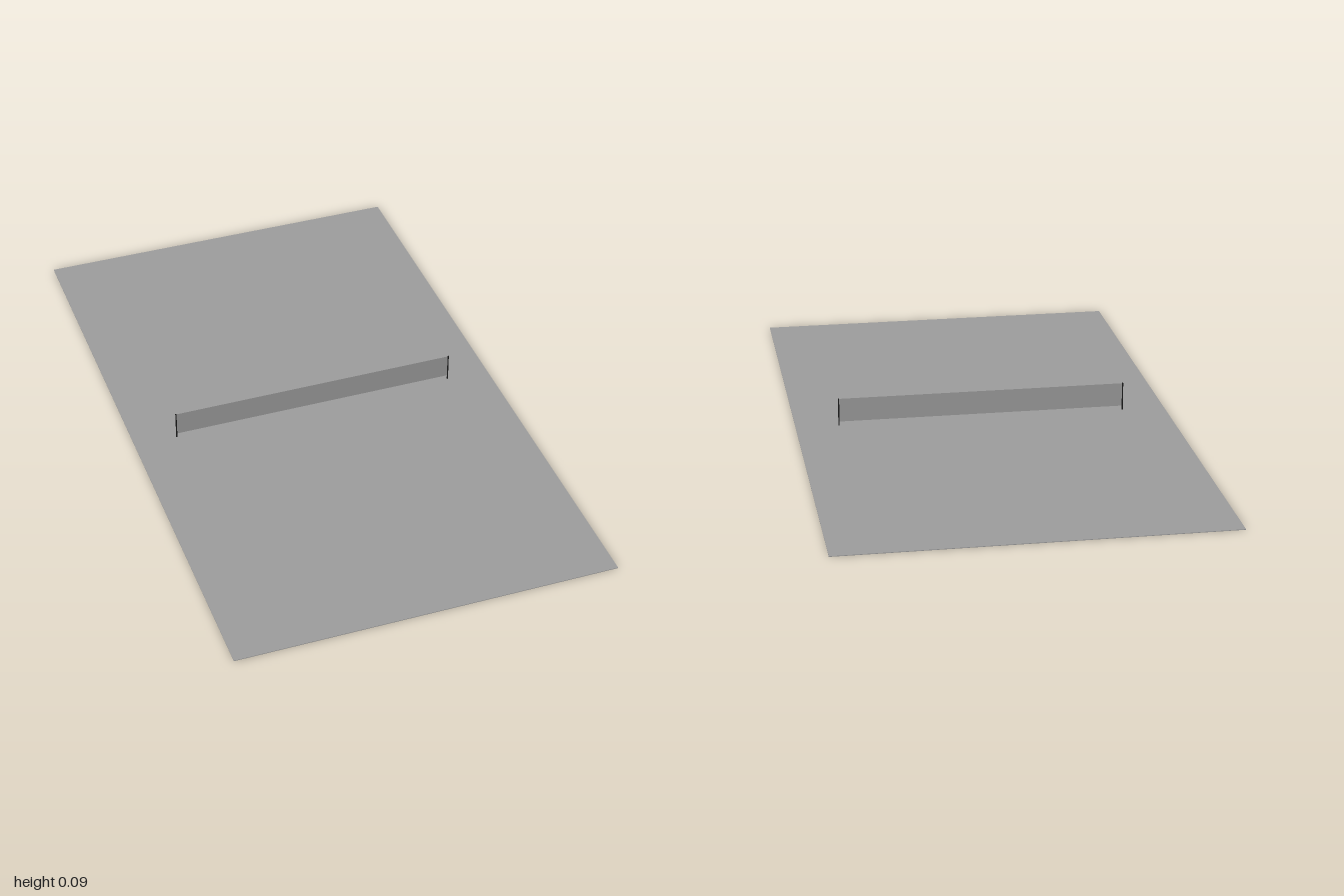
import * as THREE from 'three';

const NET_HALF = 0.45;
const POST_BASE = 0.001;
const POST_TOP = 0.091;
const POST_RADIUS = 0.002;

export function createModel() {
  const group = new THREE.Group();
  const grey = new THREE.MeshStandardMaterial({ color: 0x9c9c9c });
  const thinGrey = new THREE.MeshStandardMaterial({ color: 0x9c9c9c, side: THREE.DoubleSide });
  const dark = new THREE.MeshStandardMaterial({ color: 0x1a1a1a });

  const add = (name, geometry, material, x, y) => {
    const mesh = new THREE.Mesh(geometry, material);
    mesh.name = name;
    mesh.position.set(x, y, 0);
    group.add(mesh);
  };

  // Thin flat court slab
  add('court', new THREE.BoxGeometry(1.17, 0.002, 2), grey, 0, 0.001);

  // Net panel, hanging just clear of the court
  add('net', new THREE.PlaneGeometry(NET_HALF * 2, 0.075), thinGrey, 0, 0.0525);

  // Slender dark posts at both ends of the net
  const height = POST_TOP - POST_BASE;
  const post = new THREE.CylinderGeometry(POST_RADIUS, POST_RADIUS, height, 16);
  add('leftPost', post, dark, NET_HALF, POST_BASE + height / 2);
  add('rightPost', post, dark, -NET_HALF, POST_BASE + height / 2);

  return group;
}
